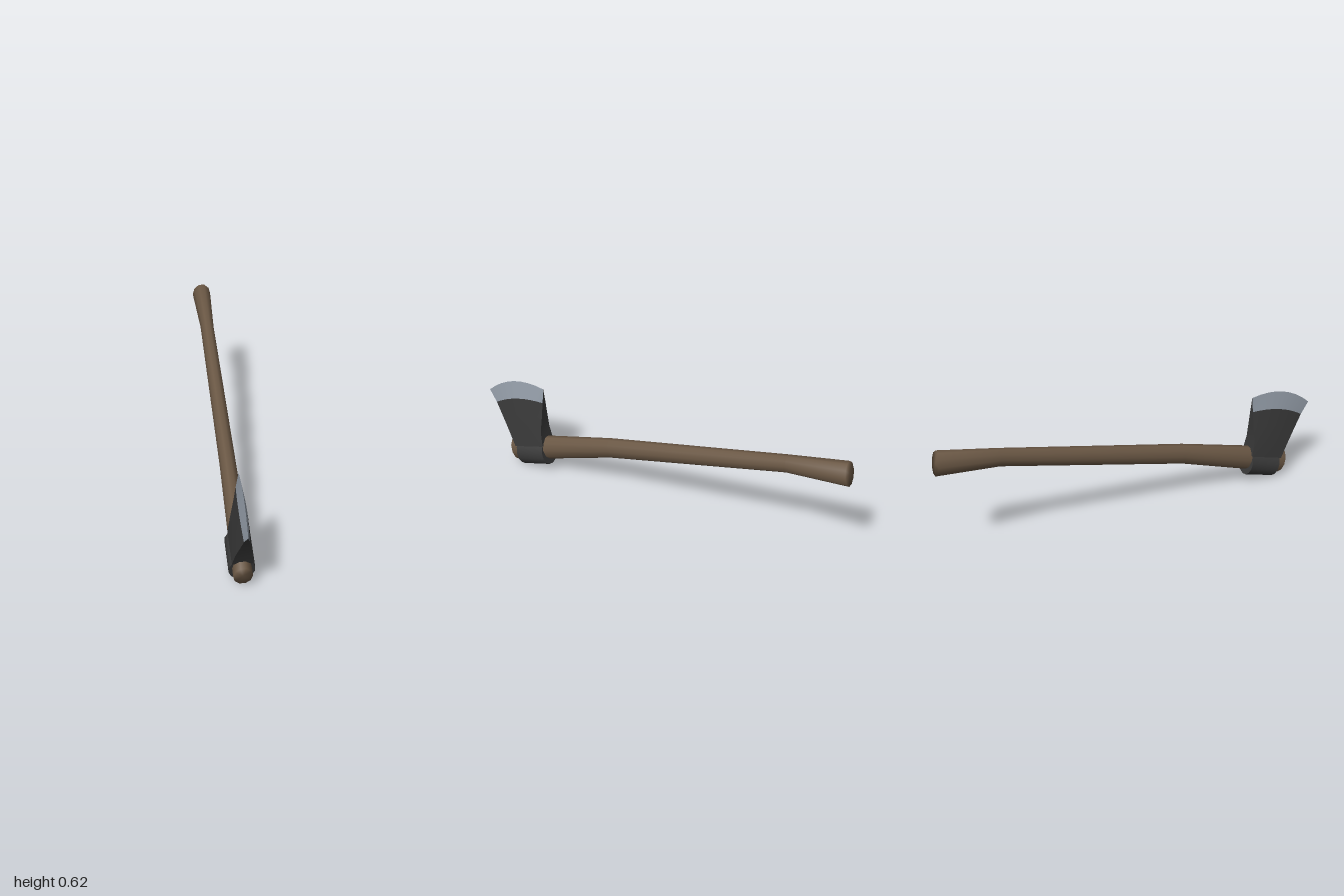
import * as THREE from 'three';
import { toCreasedNormals } from 'three/addons/utils/BufferGeometryUtils.js';

const material = (name, color) => {
  const m = new THREE.MeshStandardMaterial({ color });
  m.name = name;
  return m;
};

// Closed loft of elliptical rings running front to back.
// Each ring: [top z, top y, bottom z, bottom y, half width]
function loft(rings, sides, phase, heightScale) {
  const pos = [], index = [];
  for (const [tz, ty, bz, by, w] of rings) {
    for (let j = 0; j < sides; j++) {
      const a = phase + (j / sides) * Math.PI * 2;
      const s = Math.sin(a) * heightScale / 2;
      pos.push(w * Math.cos(a), (ty + by) / 2 + s * (ty - by), (tz + bz) / 2 + s * (tz - bz));
    }
  }
  const last = rings.length - 1, front = rings.length * sides, back = front + 1;
  for (const [tz, ty, bz, by] of [rings[0], rings[last]]) pos.push(0, (ty + by) / 2, (tz + bz) / 2);
  for (let j = 0; j < sides; j++) {
    const k = (j + 1) % sides;
    for (let i = 0; i < last; i++) {
      const a = i * sides + j, b = i * sides + k;
      index.push(a, a + sides, b, b, a + sides, b + sides);
    }
    index.push(front, j, k, back, last * sides + k, last * sides + j);
  }
  const g = new THREE.BufferGeometry();
  g.setAttribute('position', new THREE.Float32BufferAttribute(pos, 3));
  g.setIndex(index);
  g.computeVertexNormals();
  return g;
}

// Blade rows from the socket up to the cutting edge
const ROWS = [
  { f: [0.825, 0.115], b: [0.65, 0.17], w: 0.047, end: 1, bulge: 0 },
  { f: [0.865, 0.19], b: [0.663, 0.25], w: 0.041, end: 0.92, bulge: 0.004 },
  { f: [0.91, 0.26], b: [0.661, 0.33], w: 0.03, end: 0.8, bulge: 0.014 },
  { f: [0.952, 0.325], b: [0.66, 0.41], w: 0.0185, end: 0.65, bulge: 0.025 },
  { f: [1.0, 0.38], b: [0.66, 0.485], w: 0, end: 1, bulge: 0.045 },
];
const COLS = 8;

function bladePoint(r, c, side) {
  const { f, b, w, end, bulge } = ROWS[r];
  const u = c / COLS, arc = 4 * u * (1 - u);
  return [
    side * w * (end + (1 - end) * arc),
    f[1] + (b[1] - f[1]) * u + bulge * arc,
    f[0] + (b[0] - f[0]) * u + bulge * arc * 0.25,
  ];
}

function facesToGeometry(faces, crease) {
  const pos = [];
  for (const f of faces)
    for (let i = 1; i < f.length - 1; i++) pos.push(...f[0], ...f[i], ...f[i + 1]);
  const g = new THREE.BufferGeometry();
  g.setAttribute('position', new THREE.Float32BufferAttribute(pos, 3));
  return toCreasedNormals(g, crease);
}

// Both cheeks of the blade between two rows
function cheeks(from, to) {
  const faces = [], P = bladePoint;
  for (let r = from; r < to; r++)
    for (let c = 0; c < COLS; c++)
      for (const s of [1, -1]) {
        const q = [P(r, c, s), P(r, c + 1, s), P(r + 1, c + 1, s), P(r + 1, c, s)];
        faces.push(s > 0 ? q : q.reverse());
      }
  return faces;
}

// Narrow front and back walls and the underside
function bladeWalls() {
  const faces = [], P = bladePoint, tip = ROWS.length - 1;
  for (let r = 0; r < tip; r++)
    for (const [c, s] of [[0, 1], [COLS, -1]]) {
      const q = [P(r, c, -s), P(r, c, s), P(r + 1, c, s)];
      if (r + 1 < tip) q.push(P(r + 1, c, -s));
      faces.push(q);
    }
  faces.push([P(0, 0, -1), P(0, COLS, -1), P(0, COLS, 1), P(0, 0, 1)]);
  return faces;
}

export function createModel() {
  const wood = material('wood', 0x6b5845);
  const iron = material('dark iron', 0x393939);
  const steel = material('bright steel', 0x929ba6);
  const model = new THREE.Group();
  model.name = 'axe';
  const add = (name, geometry, mat) => {
    const mesh = new THREE.Mesh(geometry, mat);
    mesh.name = name;
    model.add(mesh);
  };

  // Gently curved handle with a flared butt
  add('handle', loft([
    [0.87, 0.122, 0.83, 0.012, 0.044],
    [0.66, 0.203, 0.63, 0.085, 0.044],
    [0.27, 0.32, 0.26, 0.22, 0.039],
    [-0.69, 0.56, -0.69, 0.472, 0.034],
    [-0.98, 0.625, -1.0, 0.508, 0.047],
  ], 10, 0, 1.04), wood);

  // Socket wrapped round the handle
  add('collar', toCreasedNormals(loft([
    [0.825, 0.135, 0.785, 0.003, 0.06],
    [0.662, 0.187, 0.626, 0.053, 0.06],
  ], 14, -Math.PI / 2, 1), 0.9), iron);

  // Dark blade body and bright bevelled edge
  add('bladeBody', facesToGeometry([...cheeks(0, 3), ...bladeWalls()], 0.6), iron);
  add('cuttingEdge', facesToGeometry(cheeks(3, 4), 0.3), steel);

  return model;
}
